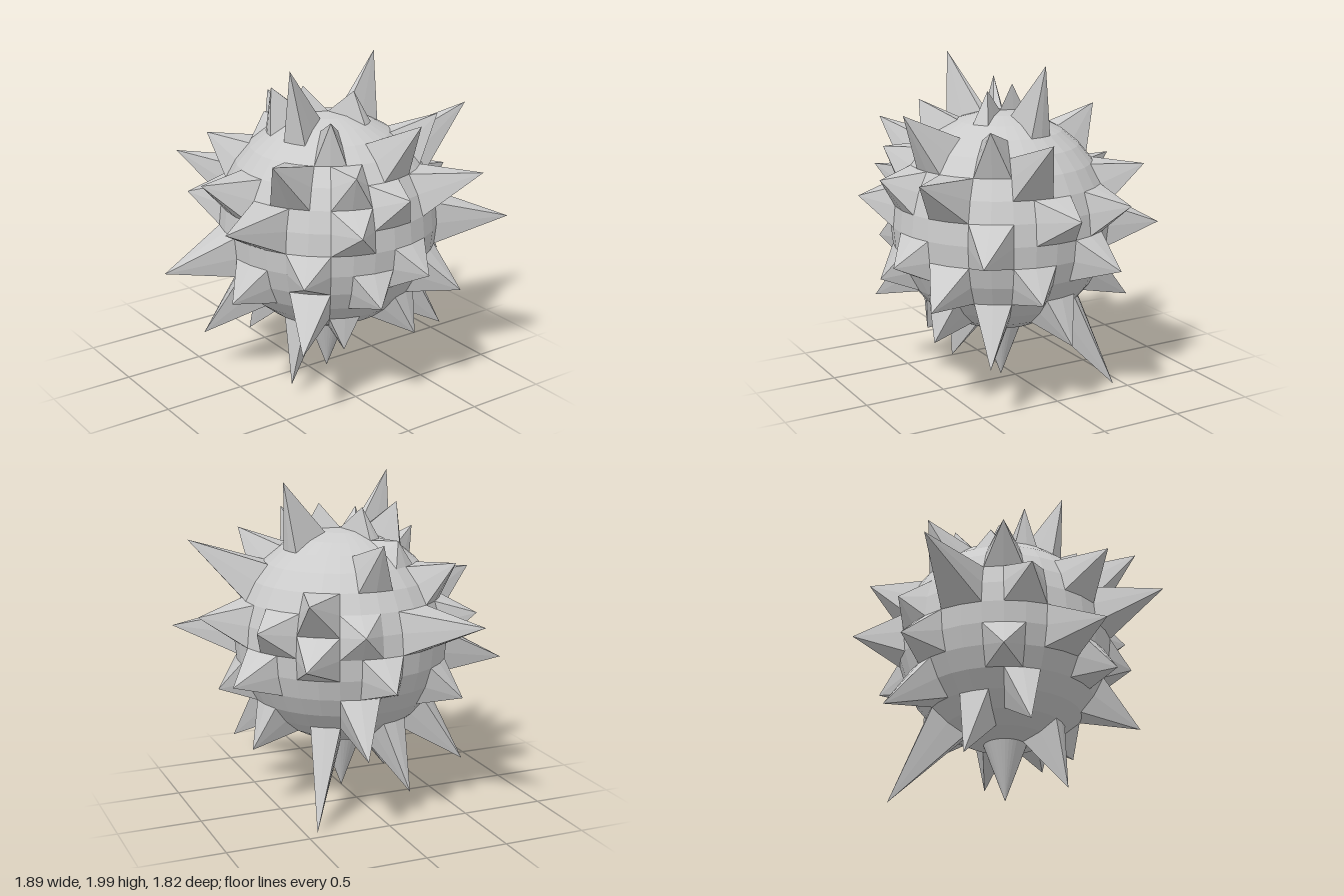
import * as THREE from 'three';

const SEGMENTS = 32, BANDS = 8, STEP = Math.PI / 16, RADIUS = 0.65;

// Spikes: [meridian from +x towards +z, parallel above the equator, tip distance]
const SPIKES = [
  [14, 6, 1.045], [31, 6, 1.025], [18, 6, 0.875], [21, 7, 0.8], [5, 7, 0.8],
  [11, 5, 0.855], [21, 5, 0.73], [7, 4, 0.984], [3, 4, 0.898], [24, 4, 0.91],
  [1, 3, 1.095], [13, 3, 0.995], [20, 3, 0.875], [10, 3, 0.82],
  [5, 2, 1.01], [8, 2, 0.835], [16, 2, 0.93], [27, 2, 0.91],
  [0, 1, 0.912], [14, 1, 1.04], [22, 1, 1.152], [10, 1, 0.85],
  [29, 1, 0.846], [19, 1, 0.843], [25, 1, 0.765],
  [3, 0, 1.075], [27, 0, 0.93],
  [17, -1, 1.04], [30, -1, 0.877], [24, -1, 0.845], [7, -1, 0.8], [12, -1, 0.785],
  [15, -2, 0.845], [1, -2, 0.815], [9, -2, 0.795], [5, -2, 0.9], [20, -2, 0.85],
  [12, -3, 0.97], [25, -3, 0.99],
  [19, -4, 1.065], [3, -4, 0.98], [31, -4, 0.89], [6, -4, 0.86],
  [22, -5, 1.05], [27, -5, 1.235], [10, -5, 0.8], [14, -6, 1.025], [0, -8, 0.98],
];

const tips = new Map(SPIKES.map(([i, j, r]) => [`${i},${j}`, r]));

// Distance of a grid point from the centre; each pole is a single point
function reach(i, j) {
  const meridian = Math.abs(j) === BANDS ? 0 : i % SEGMENTS;
  return tips.get(`${meridian},${j}`) ?? RADIUS;
}

function point(i, j) {
  const r = reach(i, j), flat = r * Math.cos(j * STEP);
  return [flat * Math.cos(i * STEP), r * Math.sin(j * STEP), flat * Math.sin(i * STEP)];
}

// Sphere grid whose chosen points are pulled out into spikes
function spikedSphere() {
  const positions = [];
  const triangle = (...corners) => corners.forEach(([i, j]) => positions.push(...point(i, j)));
  for (let j = -BANDS; j < BANDS; j++) {
    for (let i = 0; i < SEGMENTS; i++) {
      const a = [i, j], b = [i, j + 1], c = [i + 1, j + 1], d = [i + 1, j];
      if (j === -BANDS) triangle(a, b, c);
      else if (j === BANDS - 1) triangle(a, b, d);
      // Split each quad through its spike tip so every spike is a square pyramid
      else if (reach(...a) + reach(...c) >= reach(...b) + reach(...d)) {
        triangle(a, b, c);
        triangle(a, c, d);
      } else {
        triangle(a, b, d);
        triangle(b, c, d);
      }
    }
  }
  const geometry = new THREE.BufferGeometry();
  geometry.setAttribute('position', new THREE.Float32BufferAttribute(positions, 3));
  geometry.computeVertexNormals();
  return geometry;
}

export function createModel() {
  const group = new THREE.Group();
  group.name = 'spikedBall';
  const material = new THREE.MeshStandardMaterial({ color: 0xcccccc, flatShading: true });
  const ball = new THREE.Mesh(spikedSphere(), material);
  ball.name = 'ballWithSpikes';
  ball.position.set(0.05, 1.03, 0.13);
  group.add(ball);
  return group;
}
